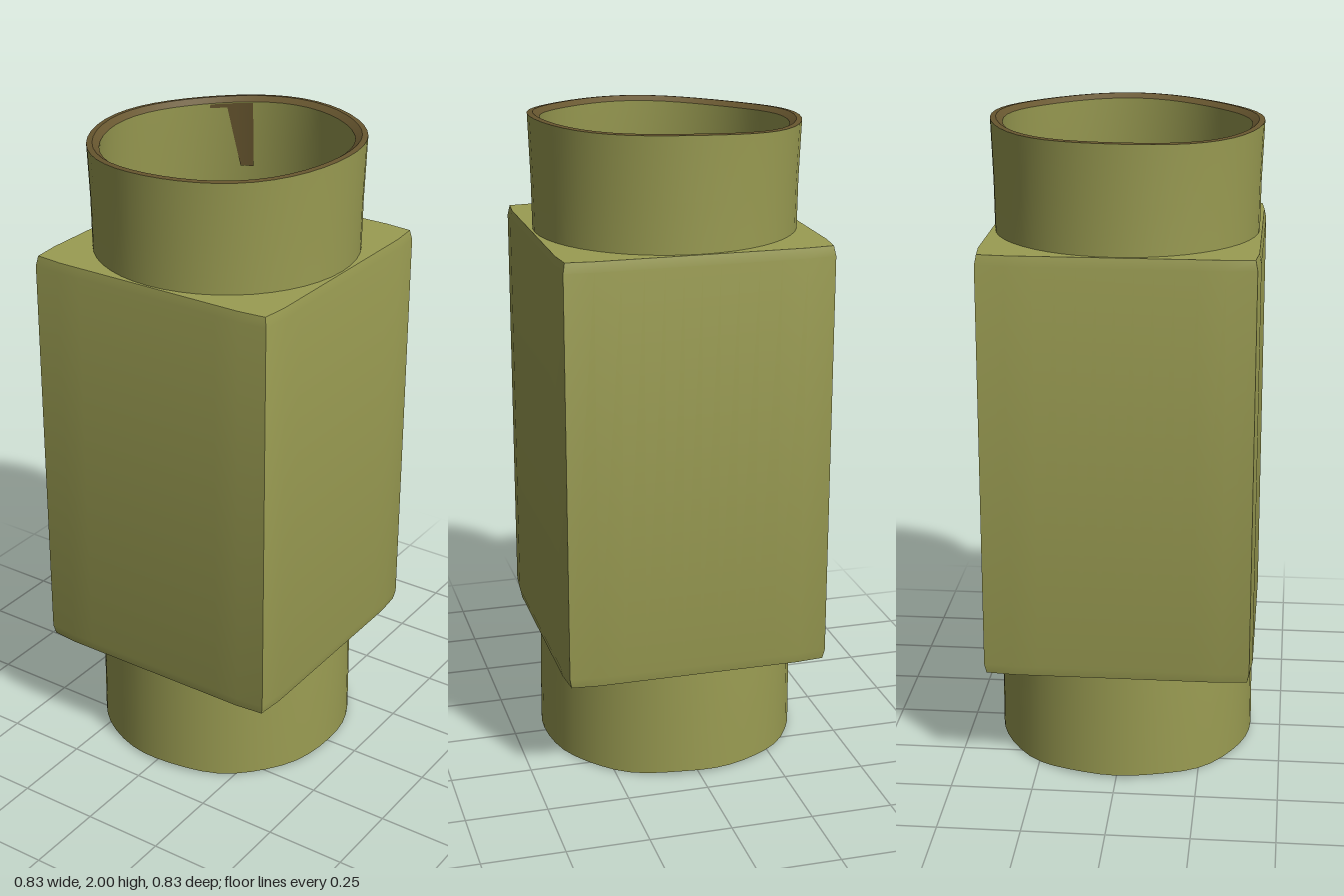
import * as THREE from 'three';
import { toCreasedNormals } from 'three/addons/utils/BufferGeometryUtils.js';

const SEGMENTS = 48;
const HALF = 0.413;

// Uneven heights of the two open ends
const topY = (a) => 1.982 + 0.011 * Math.sin(a) - 0.005 * Math.cos(a) + 0.003 * Math.cos(4 * a);
const bottomY = (a) => 0.006 + 0.004 * Math.cos(4 * a) + 0.002 * Math.sin(9 * a);

// Cross-sections: functions from angle to [radius, height]
const circle = (r, y) => (a) => [r, typeof y === 'function' ? y(a) : y];
const square = (half, y) => (a) => {
  const r = half / Math.max(Math.abs(Math.sin(a)), Math.abs(Math.cos(a)));
  return [Math.min(r, half * 1.385), y];
};

// Skins a stack of cross-sections; a partial sweep gives an open patch
function loft(sections, start = 0, sweep = Math.PI * 2, segments = SEGMENTS) {
  const positions = [];
  const index = [];
  const row = segments + 1;
  sections.forEach((section, j) => {
    for (let i = 0; i <= segments; i++) {
      const a = start + (i / segments) * sweep;
      const [r, y] = section(a);
      positions.push(r * Math.sin(a), y, r * Math.cos(a));
      if (j > 0 && i < segments) {
        const p = (j - 1) * row + i;
        index.push(p, p + 1, p + row + 1, p, p + row + 1, p + row);
      }
    }
  });
  const geometry = new THREE.BufferGeometry();
  geometry.setAttribute('position', new THREE.Float32BufferAttribute(positions, 3));
  geometry.setIndex(index);
  return toCreasedNormals(geometry, 0.6);
}

export function createModel() {
  const group = new THREE.Group();
  const olive = new THREE.MeshStandardMaterial({ color: 0x9a9c52, side: THREE.DoubleSide });
  olive.name = 'olive';
  const brown = new THREE.MeshStandardMaterial({ color: 0x67562f, side: THREE.DoubleSide });
  brown.name = 'brown';

  const add = (name, geometry, material) => {
    const mesh = new THREE.Mesh(geometry, material);
    mesh.name = name;
    group.add(mesh);
  };

  // Round collars above and below the square body
  add('lowerCollar', loft([circle(0.405, bottomY), circle(0.404, 0.2), circle(0.4, 0.345)]), olive);
  add('upperCollar', loft([circle(0.4, 1.65), circle(0.402, 1.8), circle(0.409, topY)]), olive);

  // Hollow square body with a flat ledge at each end
  add('body', loft([
    circle(0.4, 0.345),
    square(HALF - 0.006, 0.34),
    square(HALF, 0.37),
    square(HALF, 1.62),
    square(HALF - 0.006, 1.65),
    circle(0.4, 1.65),
  ]), olive);

  // Brown rim and the inner sleeve of the upper collar
  add('topRim', loft([
    circle(0.409, topY),
    circle(0.392, (a) => topY(a) + 0.002),
    circle(0.372, (a) => topY(a) - 0.012),
  ]), brown);
  add('innerSleeve', loft([
    circle(0.372, (a) => topY(a) - 0.012),
    circle(0.38, 1.85),
    circle(0.396, 1.665),
  ]), olive);

  // Brown streak running down the inside of the sleeve
  const streakStart = Math.PI + 0.38;
  const streakSweep = 0.36;
  const streakEnd = (a) => {
    const t = (a - streakStart) / streakSweep;
    return t < 0.3 ? 1.76 : 1.76 + 0.19 * Math.min(1, (t - 0.3) / 0.3);
  };
  add('rimStreak', loft([
    circle(0.368, (a) => topY(a) - 0.014),
    (a) => [0.368 + (1.97 - streakEnd(a)) * 0.07, streakEnd(a)],
  ], streakStart, streakSweep, 10), brown);

  return group;
}
